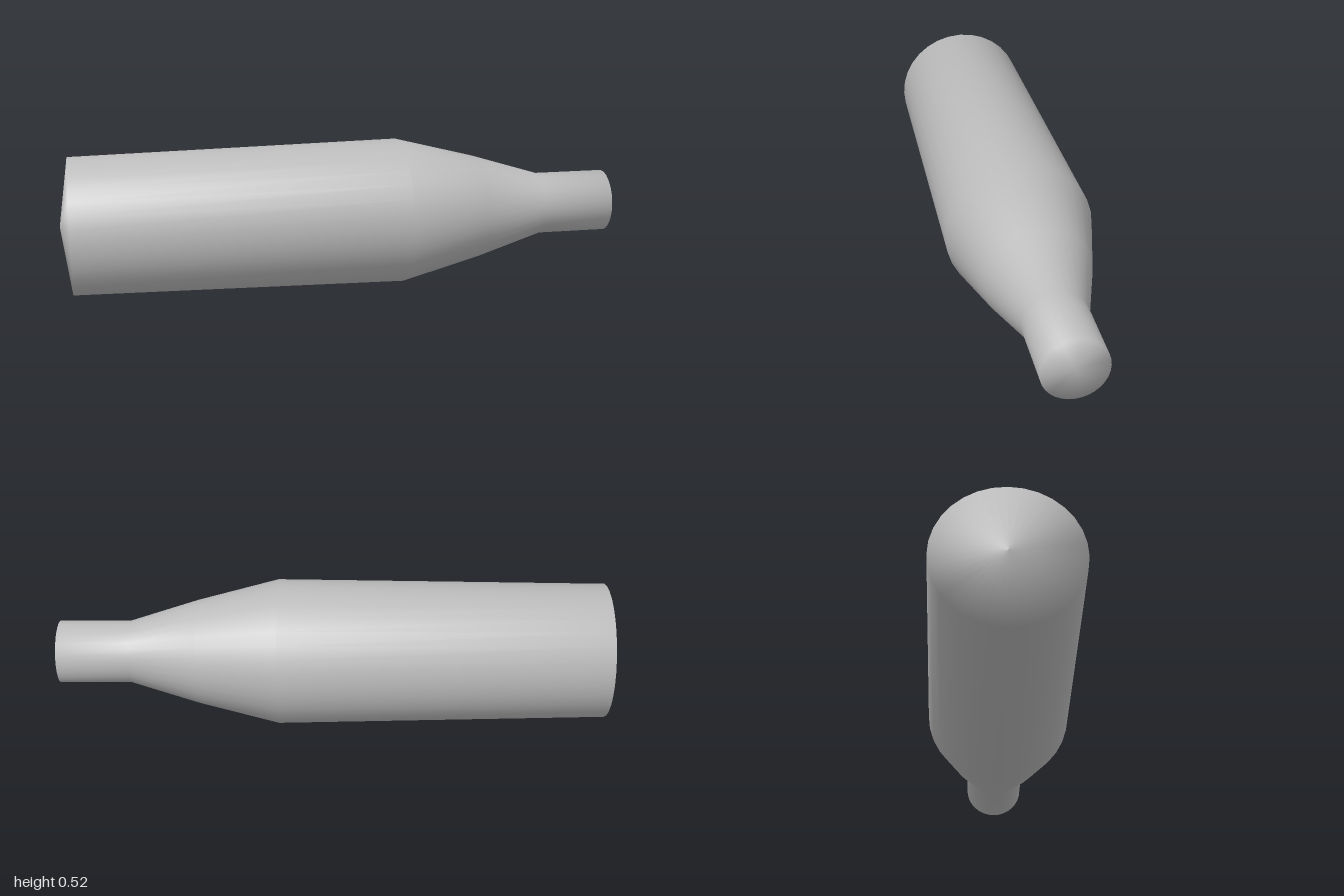
import * as THREE from 'three';

export function createModel() {
  const group = new THREE.Group();
  group.name = 'bottle';

  const grey = new THREE.MeshStandardMaterial({ color: 0xbcbcbc });
  grey.name = 'grey';

  // Profile as (radius, distance along the axis), base to mouth
  const profile = [
    [0, -1],          // shallow cone base
    [0.242, -0.965],  // base rim
    [0.261, 0.21],    // widest point
    [0.187, 0.5],     // shoulder
    [0.112, 0.745],   // start of neck
    [0.112, 1],       // mouth rim
    [0, 1],           // closed mouth
  ].map(([r, a]) => new THREE.Vector2(r, a));

  // Smooth turned body lying along x
  const geometry = new THREE.LatheGeometry(profile, 32);
  geometry.rotateZ(-Math.PI / 2);
  geometry.translate(0, 0.261, 0);

  const body = new THREE.Mesh(geometry, grey);
  body.name = 'bottleBody';
  group.add(body);
  return group;
}
